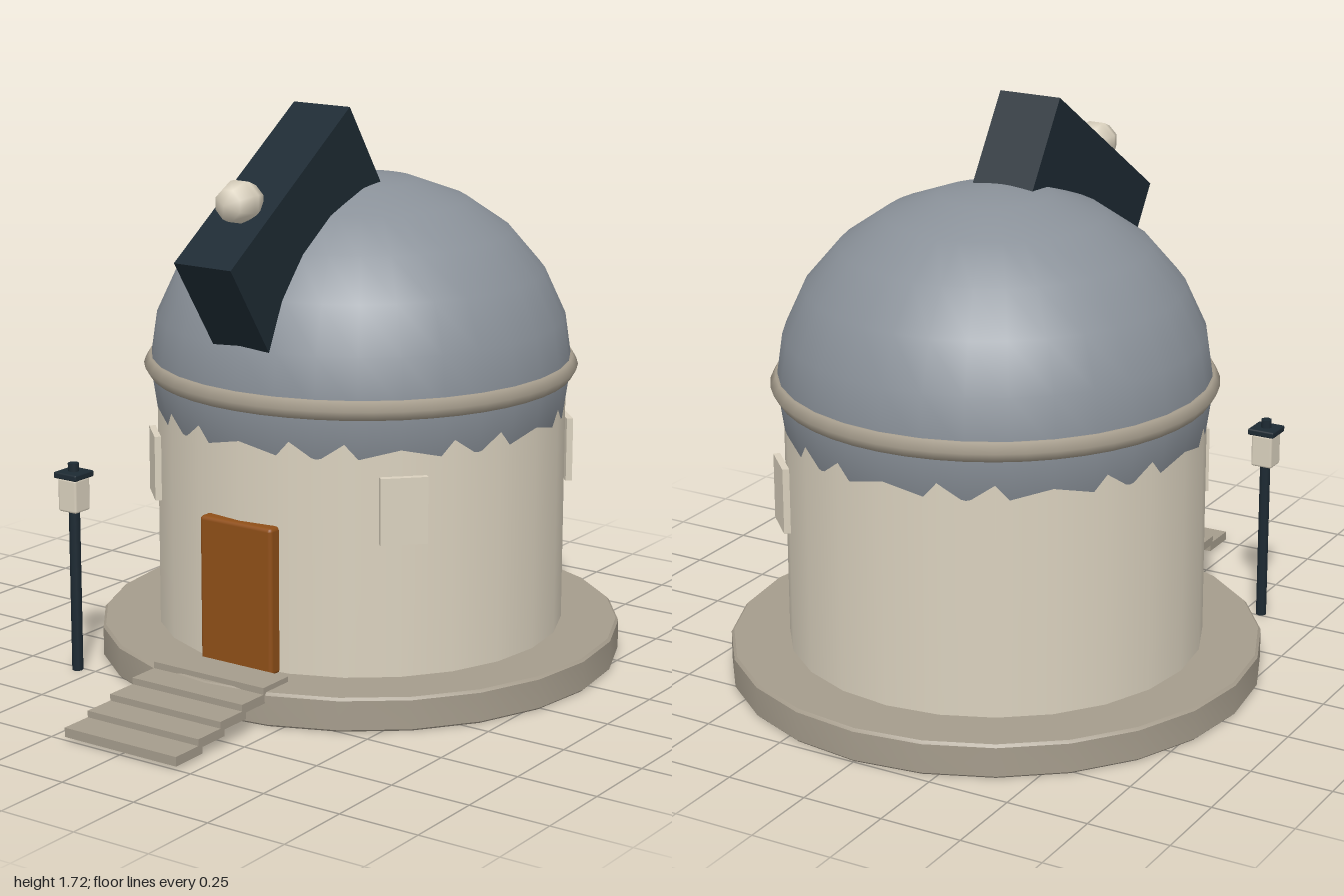
import * as THREE from 'three';
import { toCreasedNormals } from 'three/addons/utils/BufferGeometryUtils.js';
import { RoundedBoxGeometry } from 'three/addons/geometries/RoundedBoxGeometry.js';

const material = (name, color) => {
  const m = new THREE.MeshStandardMaterial({ color });
  m.name = name;
  return m;
};

export function createModel() {
  const plaster = material('cream plaster', 0xdad1be);
  const stone = material('tan stone', 0xa59c8c);
  const darkStone = material('dark stone underside', 0x6e6962);
  const slate = material('grey dome', 0x8a9199);
  const iron = material('dark iron', 0x1d2a33);
  const wood = material('orange wood', 0x8f4f18);

  const model = new THREE.Group();
  model.name = 'observatory';
  const add = (parent, name, geometry, mat, x = 0, y = 0, z = 0) => {
    const mesh = new THREE.Mesh(geometry, mat);
    mesh.name = name;
    mesh.position.set(x, y, z);
    parent.add(mesh);
    return mesh;
  };

  // Round building, set back from the steps
  const building = new THREE.Group();
  building.name = 'building';
  building.position.z = -0.195;
  model.add(building);

  // Plinth with a small bevel and a darker underside
  const plinthProfile = [[0.799, 0], [0.805, 0.006], [0.805, 0.094], [0.797, 0.102], [0, 0.102]]
    .map(([r, y]) => new THREE.Vector2(r, y));
  add(building, 'plinth', toCreasedNormals(new THREE.LatheGeometry(plinthProfile, 24), 0.5), stone);
  const underside = add(building, 'plinthUnderside', new THREE.CircleGeometry(0.799, 24), darkStone);
  underside.rotation.x = Math.PI / 2;

  add(building, 'wall', new THREE.CylinderGeometry(0.627, 0.627, 0.8, 24), plaster, 0, 0.5, 0);
  const dome = add(building, 'dome', new THREE.SphereGeometry(0.645, 32, 12), slate, 0, 0.91, 0);
  dome.scale.y = 0.58 / 0.645;
  const ring = add(building, 'domeRing', new THREE.TorusGeometry(0.63, 0.033, 6, 48), stone, 0, 0.91, 0);
  ring.rotation.x = Math.PI / 2;

  // Window panels on three of the diagonals; the back right one stays plain
  for (const quarter of [-1, 1, 3]) {
    const a = quarter * Math.PI / 4;
    const panel = add(building, 'windowPanel', new THREE.BoxGeometry(0.14, 0.2, 0.02), plaster,
      Math.sin(a) * 0.642, 0.61, Math.cos(a) * 0.642 - 0.009);
    panel.rotation.y = a;
  }

  add(model, 'door', new RoundedBoxGeometry(0.26, 0.45, 0.06, 2, 0.012), wood, 0, 0.322, 0.425);

  // Overlapping step slabs rising to the door, dark beneath
  const stepFaces = [stone, stone, stone, darkStone, stone, stone];
  for (let i = 0; i < 5; i++) {
    add(model, 'step', new THREE.BoxGeometry(0.4, 0.028, 0.12), stepFaces, 0, 0.024 + i * 0.02, 0.94 - i * 0.1025);
  }

  // Tilted telescope housing, partly sunk in the dome
  const housing = add(model, 'telescopeHousing', new THREE.BoxGeometry(0.2, 0.4, 0.704), iron, 0, 1.358, 0.194);
  housing.rotation.x = 0.59;

  // Eight-sided lens resting on the housing, pointing forward
  const lens = add(model, 'lens', new THREE.CapsuleGeometry(0.066, 0.018, 2, 8), plaster, 0, 1.487, 0.42);
  lens.rotation.set(Math.PI / 2, Math.PI / 8, 0);

  // Lamp post beside the steps
  const lamp = new THREE.Group();
  lamp.name = 'lampPost';
  lamp.position.set(-0.557, 0, 0.515);
  model.add(lamp);
  add(lamp, 'post', new THREE.CylinderGeometry(0.017, 0.017, 0.51, 8), iron, 0, 0.255, 0);
  add(lamp, 'lantern', new RoundedBoxGeometry(0.07, 0.105, 0.07, 1, 0.008), plaster, 0, 0.557, 0);
  add(lamp, 'lanternCap', new RoundedBoxGeometry(0.087, 0.02, 0.087, 1, 0.005), iron, 0, 0.618, 0);
  add(lamp, 'finial', new THREE.CylinderGeometry(0.017, 0.017, 0.028, 8), iron, 0, 0.639, 0);

  return model;
}
